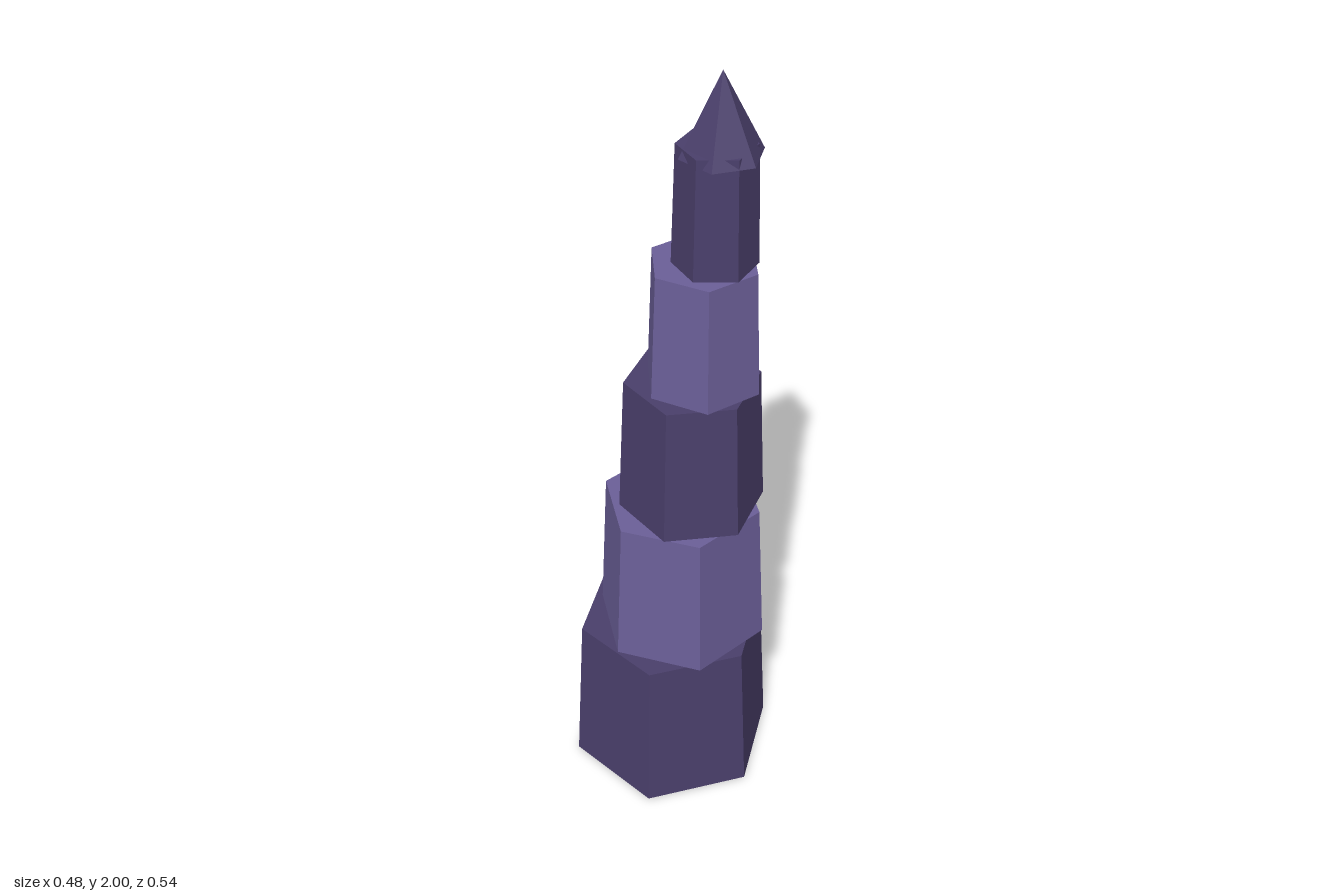
import * as THREE from 'three';

export function createModel() {
  const group = new THREE.Group();
  const mat = (name, color) => {
    const m = new THREE.MeshStandardMaterial({ color, flatShading: true });
    m.name = name;
    return m;
  };
  const dark = mat('dark purple stone', 0x4a3f6b);
  const light = mat('light purple stone', 0x6b5f98);

  // Stacked hexagonal tiers, each twisted and leaning further to +x
  const levels = [0, 0.445, 0.842, 1.212, 1.535, 1.83];
  const radii = [0.271, 0.222, 0.182, 0.146, 0.1];
  radii.forEach((r, i) => {
    const h = levels[i + 1] - levels[i];
    const tier = new THREE.Mesh(
      new THREE.CylinderGeometry(r * 0.91, r, h, 6),
      i % 2 ? light : dark
    );
    tier.name = `tier${i + 1}`;
    tier.position.set(-0.006 + i * 0.025, levels[i] + h / 2, 0);
    tier.rotation.y = i * 0.45;
    group.add(tier);
  });

  // Pointed roof
  const spire = new THREE.Mesh(new THREE.ConeGeometry(0.098, 0.193, 6), dark);
  spire.name = 'spire';
  spire.position.set(0.104, 1.9035, 0);
  group.add(spire);

  return group;
}
